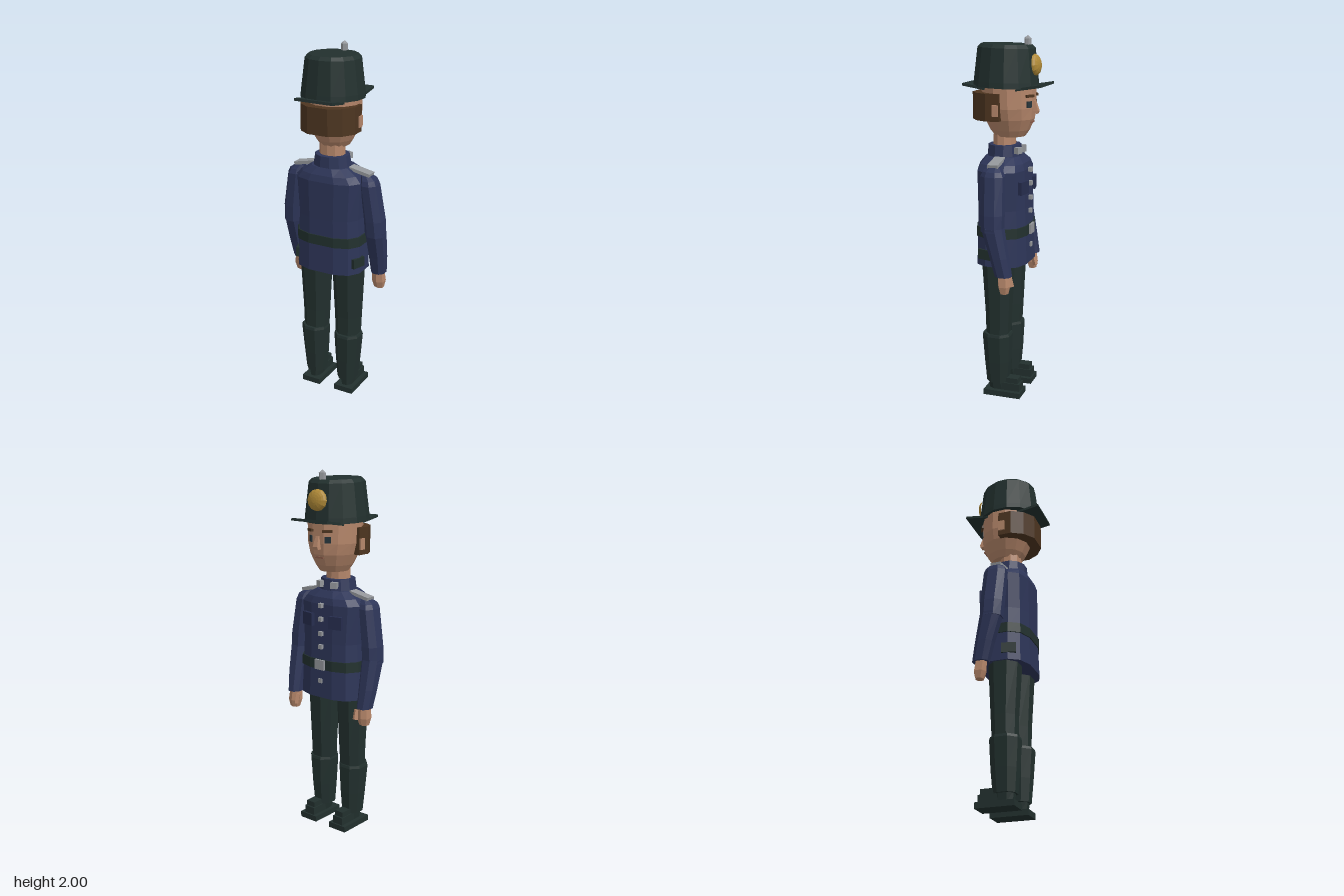
import * as THREE from 'three';

const mat = (name, color) => {
  const m = new THREE.MeshStandardMaterial({ color, flatShading: true });
  m.name = name;
  return m;
};

// Closed loft through horizontal rings, listed upward: [y, centreX, centreZ, halfWidth, halfDepth]
function loft(rings, n = 12, p = 1, tilt = 0) {
  const pos = [], idx = [], off = Math.PI / n, k = Math.cos(off);
  const f = (v) => Math.sign(v) * Math.pow(Math.min(1, Math.abs(v) / k), p);
  rings.forEach(([y, cx, cz, rx, rz], j) => {
    for (let i = 0; i < n; i++) {
      const a = off + (i / n) * Math.PI * 2;
      const z = cz + rz * f(Math.sin(a));
      pos.push(cx + rx * f(Math.cos(a)), y + tilt * z, z);
      if (j < rings.length - 1) {
        const q = j * n + i, r = j * n + (i + 1) % n;
        idx.push(q, q + n, r, r, q + n, r + n);
      }
    }
  });
  const last = rings.length - 1;
  [0, last].forEach((j) => {
    const c = pos.length / 3, [y, cx, cz] = rings[j];
    pos.push(cx, y + tilt * cz, cz);
    for (let i = 0; i < n; i++) {
      const q = j * n + i, r = j * n + (i + 1) % n;
      if (j) idx.push(c, r, q); else idx.push(c, q, r);
    }
  });
  const g = new THREE.BufferGeometry();
  g.setAttribute('position', new THREE.Float32BufferAttribute(pos, 3));
  g.setIndex(idx);
  g.computeVertexNormals();
  return g;
}

export function createModel() {
  const root = new THREE.Group();
  root.name = 'uniformedFigure';
  const green = mat('darkGreen', 0x22302e), navy = mat('navyCloth', 0x2d3558);
  const pocketNavy = mat('pocketNavy', 0x262d4e), skin = mat('skin', 0xb5866a);
  const hair = mat('brownHair', 0x4d3520), silver = mat('silver', 0x94979b);
  const gold = mat('gold', 0xb08a38), eyeDark = mat('eyeDark', 0x26343a);
  const lip = mat('lip', 0x8c5c4a);

  const add = (name, geo, m, x = 0, y = 0, z = 0, rx = 0, ry = 0, rz = 0) => {
    const mesh = new THREE.Mesh(geo, m);
    mesh.name = name;
    mesh.position.set(x, y, z);
    mesh.rotation.set(rx, ry, rz);
    root.add(mesh);
    return mesh;
  };
  const box = (name, m, size, ...place) => add(name, new THREE.BoxGeometry(...size), m, ...place);

  // Coat, collar and belt
  add('coat', loft([
    [0.77, 0, 0.007, 0.195, 0.143],
    [0.95, 0, 0.008, 0.188, 0.137],
    [1.08, 0, 0.01, 0.182, 0.134],
    [1.29, 0, 0.012, 0.195, 0.132],
    [1.325, 0, 0.012, 0.165, 0.122],
    [1.36, 0, 0.014, 0.108, 0.095],
  ], 12, 0.7), navy);
  add('collar', loft([[1.33, 0, 0.014, 0.108, 0.095], [1.42, 0, 0.016, 0.094, 0.085]], 12), navy);
  add('belt', loft([[0.93, 0, 0.008, 0.196, 0.143], [0.985, 0, 0.008, 0.194, 0.142]], 12, 0.7), green);
  box('beltBuckle', silver, [0.065, 0.055, 0.016], 0, 0.957, -0.138);
  [1.285, 1.21, 1.13, 1.057, 0.865].forEach((y) =>
    box('coatButton', silver, [0.024, 0.024, 0.022], 0, y, -0.13));

  // Neck and head
  add('neck', loft([[1.39, 0, 0.016, 0.07, 0.06], [1.49, 0, 0.016, 0.068, 0.058]], 10), skin);
  add('head', loft([
    [1.465, 0, -0.015, 0.075, 0.08],
    [1.5, 0, -0.013, 0.097, 0.105],
    [1.56, 0, -0.011, 0.125, 0.132],
    [1.62, 0, -0.009, 0.142, 0.14],
    [1.74, 0, -0.006, 0.147, 0.142],
  ], 12), skin);
  add('nose', loft([
    [1.59, 0, -0.155, 0.017, 0.016],
    [1.605, 0, -0.157, 0.016, 0.018],
    [1.66, 0, -0.147, 0.009, 0.01],
  ], 4), skin);
  box('mouth', lip, [0.055, 0.009, 0.008], 0, 1.545, -0.139);

  // Hair wrapped around the back of the head
  const hairShape = new THREE.Shape([
    [-0.162, -0.005], [0.162, -0.005], [0.163, 0.07], [0.125, 0.135], [0.06, 0.178],
    [-0.06, 0.178], [-0.125, 0.135], [-0.163, 0.07],
  ].map(([x, z]) => new THREE.Vector2(x, z)));
  const hairGeo = new THREE.ExtrudeGeometry(hairShape, { depth: 0.145, bevelEnabled: false });
  hairGeo.rotateX(Math.PI / 2);
  add('hair', hairGeo, hair, 0, 1.702, 0);

  // Cap with peaks, badge and top ornament
  add('capCrown', loft([
    [1.73, 0, 0.007, 0.167, 0.175],
    [1.76, 0, 0.007, 0.165, 0.172],
    [1.935, 0, 0.006, 0.143, 0.153],
    [1.953, 0, 0.005, 0.125, 0.135],
  ], 14, 1, 0.03), green);
  box('frontPeak', green, [0.246, 0.014, 0.15], 0, 1.733, -0.147, 0.16);
  box('backPeak', green, [0.223, 0.014, 0.13], 0, 1.732, 0.154, -0.16);
  const badge = new THREE.SphereGeometry(1, 12, 6, 0, Math.PI * 2, 0, Math.PI / 2);
  badge.rotateX(-Math.PI / 2);
  add('capBadge', badge, gold, 0, 1.846, -0.152, 0.1).scale.set(0.064, 0.058, 0.032);
  add('ornamentStem', new THREE.CylinderGeometry(0.019, 0.019, 0.045, 6), silver, 0, 1.962, -0.112);
  add('ornamentTip', new THREE.ConeGeometry(0.021, 0.018, 6), silver, 0, 1.991, -0.112);

  // Everything that comes in pairs
  for (const s of [-1, 1]) {
    const side = s > 0 ? 'left' : 'right';
    const part = (n) => side + n;
    const limb = (rows, n = 8, p = 0.9) =>
      loft(rows.map(([y, x, z, rx, rz]) => [y, x * s, z, rx, rz]), n, p);

    // Face
    box(part('Eye'), eyeDark, [0.034, 0.034, 0.01], s * 0.057, 1.642, -0.138, 0, -s * 0.5);
    box(part('Brow'), hair, [0.052, 0.014, 0.018], s * 0.057, 1.687, -0.141, 0, -s * 0.5);
    box(part('Ear'), skin, [0.03, 0.06, 0.035], s * 0.155, 1.615, 0.015);

    // Coat trim
    box(part('CollarTab'), silver, [0.036, 0.034, 0.03], s * 0.048, 1.392, -0.075, 0, -s * 0.35);
    box(part('BreastPocket'), pocketNavy, [0.08, 0.07, 0.02], s * 0.095, 1.2, -0.122, 0, -s * 0.2);
    box(part('BeltPouch'), green, [0.05, 0.055, 0.08], s * 0.172, 0.836, 0.062, 0, -s * 0.3);
    box(part('ShoulderBoard'), silver, [0.125, 0.018, 0.058], s * 0.17, 1.343, 0.006, 0, 0, -s * 0.2);

    // Arm
    add(part('UpperArm'), limb([
      [0.99, 0.257, -0.003, 0.052, 0.058],
      [1.08, 0.252, 0.0, 0.052, 0.062],
      [1.28, 0.224, 0.007, 0.046, 0.062],
      [1.305, 0.22, 0.007, 0.04, 0.052],
      [1.325, 0.205, 0.007, 0.026, 0.034],
    ]), navy);
    add(part('Forearm'), limb([
      [0.745, 0.252, -0.062, 0.039, 0.043],
      [0.85, 0.256, -0.04, 0.046, 0.048],
      [1.01, 0.257, -0.003, 0.052, 0.058],
    ]), navy);

    // Hand with thumb
    add(part('Hand'), limb([
      [0.65, 0.253, -0.068, 0.024, 0.022],
      [0.69, 0.252, -0.066, 0.033, 0.034],
      [0.755, 0.25, -0.06, 0.028, 0.032],
    ], 6), skin);
    box(part('Thumb'), skin, [0.02, 0.055, 0.022], s * 0.214, 0.705, -0.09, 0.25, s * 0.5, 0);

    // Trouser leg and boot
    add(part('TrouserLeg'), limb([
      [0.34, 0.104, 0.018, 0.066, 0.062],
      [0.48, 0.103, 0.016, 0.071, 0.067],
      [0.8, 0.103, 0.018, 0.084, 0.084],
    ]), green);
    add(part('BootShaft'), limb([
      [0.075, 0.103, 0.02, 0.054, 0.06],
      [0.2, 0.105, 0.02, 0.064, 0.07],
      [0.355, 0.108, 0.022, 0.074, 0.078],
      [0.37, 0.108, 0.022, 0.07, 0.074],
    ]), green);
    add(part('Ankle'), limb([
      [0.025, 0.106, 0.015, 0.033, 0.05],
      [0.09, 0.104, 0.018, 0.042, 0.054],
    ]), green);
    box(part('BootToe'), green, [0.068, 0.05, 0.125], s * 0.106, 0.05, -0.053);
    box(part('BootInstep'), green, [0.056, 0.04, 0.1], s * 0.106, 0.085, -0.055);
    box(part('Sole'), green, [0.115, 0.032, 0.213], s * 0.107, 0.016, -0.018);
  }
  return root;
}
